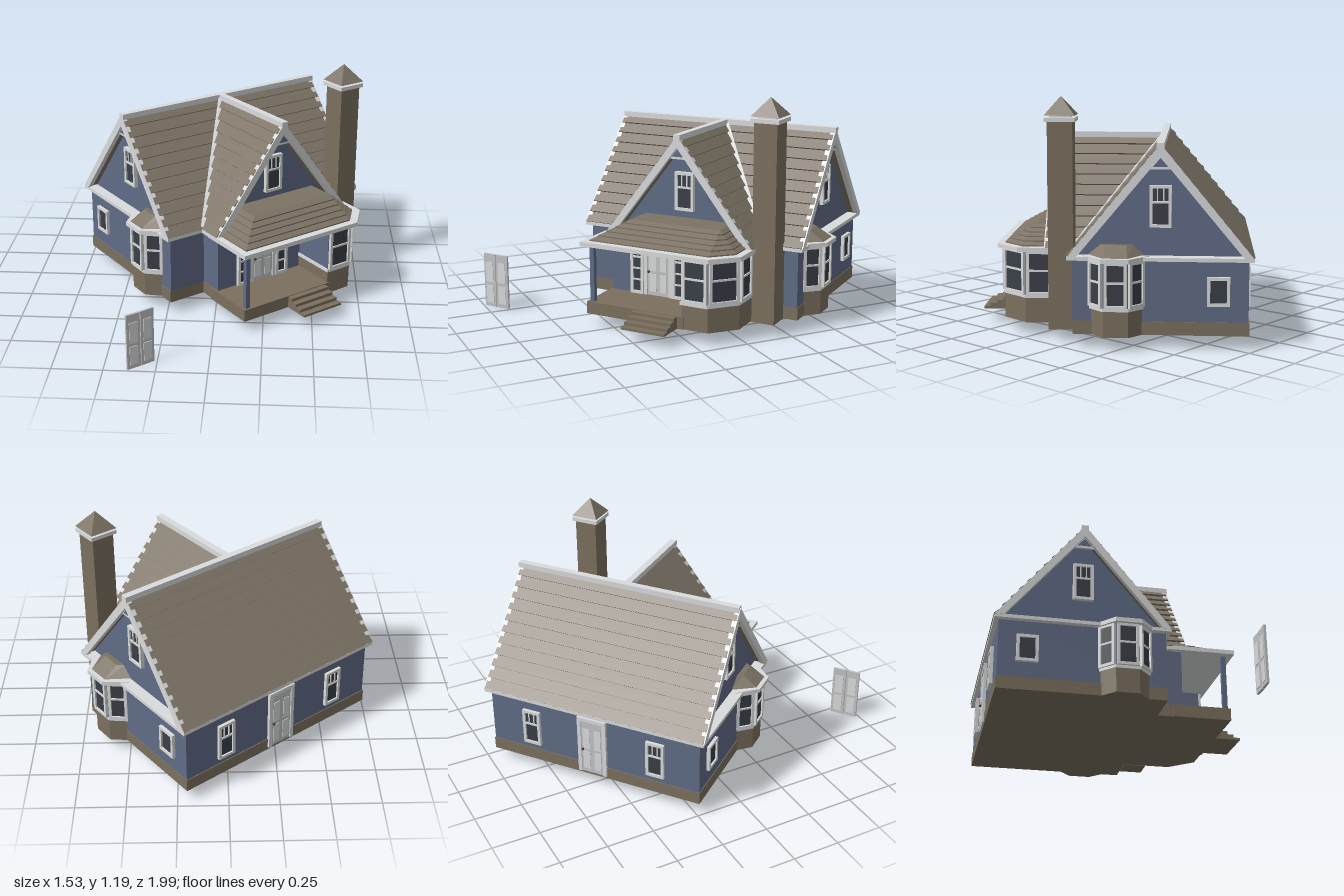
import * as THREE from 'three';

const mat = (name, color) => Object.assign(new THREE.MeshStandardMaterial({ color }), { name });
const M = {
  roof: mat('roofShingle', 0x7d7366), stone: mat('foundationBrown', 0x7b705e),
  wall: mat('wallBlue', 0x606c86), trim: mat('trimWhite', 0xdadbdc),
  door: mat('doorGrey', 0xc2c3c5), glass: mat('darkGlass', 0x3a3f47), metal: mat('knobDark', 0x2c2a28),
};
const EAVE = 0.44, RIDGE = 0.97, GROUND = 0.065, FLOOR = 0.13;

function add(parent, name, geo, material, x = 0, y = 0, z = 0, ry = 0) {
  const m = new THREE.Mesh(geo, material);
  m.name = name;
  m.position.set(x, y, z);
  m.rotation.y = ry;
  parent.add(m);
  return m;
}
const box = (p, name, material, w, h, d, x, y, z, ry) =>
  add(p, name, new THREE.BoxGeometry(w, h, d), material, x, y, z, ry);
const shapeOf = pts => new THREE.Shape(pts.map(p => new THREE.Vector2(p[0], p[1])));
const extrude = (pts, depth) => new THREE.ExtrudeGeometry(shapeOf(pts), { depth, bevelEnabled: false });

// Upright prism on a floor-plan outline of [x, z] points
function prism(p, name, material, pts, y0, y1) {
  const g = extrude(pts.map(([x, z]) => [x, -z]), y1 - y0).rotateX(-Math.PI / 2);
  return add(p, name, g, material, 0, y0, 0);
}
// Outline scaled outward about its centre
function grow(pts, k) {
  const n = pts.length, cx = pts.reduce((s, p) => s + p[0], 0) / n, cz = pts.reduce((s, p) => s + p[1], 0) / n;
  return pts.map(([x, z]) => [cx + (x - cx) * k, cz + (z - cz) * k]);
}

// Hipped roof in overlapping courses from a lower outline to an upper one, closed on top
function hipRoof(p, name, low, high, y0, y1, courses, lip) {
  const ring = (t, dy) => low.map(([x, z], i) =>
    [x + (high[i][0] - x) * t, y0 + (y1 - y0) * t + dy, z + (high[i][1] - z) * t]);
  const rings = [];
  for (let i = 0; i < courses; i++) rings.push(ring(i / courses, 0), ring(i / courses, lip));
  rings.push(ring(1, 0));
  const v = [];
  for (let r = 0; r < rings.length - 1; r++) {
    for (let i = 0; i < low.length - 1; i++) {
      const a = rings[r][i], b = rings[r][i + 1], c = rings[r + 1][i + 1], d = rings[r + 1][i];
      v.push(...a, ...b, ...c, ...a, ...c, ...d);
    }
  }
  const top = rings[rings.length - 1];
  for (let i = 1; i < top.length - 1; i++) v.push(...top[0], ...top[i], ...top[i + 1]);
  const g = new THREE.BufferGeometry();
  g.setAttribute('position', new THREE.Float32BufferAttribute(v, 3));
  g.computeVertexNormals();
  add(p, name, g, M.roof);
}

// Sash window facing +z, with small panes in the upper sash
function sashWindow(p, name, w, h, x, y, z, ry, cols = 1, rail = 0.1) {
  const g = new THREE.Group();
  g.name = name;
  g.position.set(x, y, z);
  g.rotation.y = ry;
  p.add(g);
  const f = 0.015;
  box(g, 'glass', M.glass, w - f, h - f, 0.008, 0, 0, 0.002);
  for (const s of [-1, 1]) {
    box(g, 'frameSide', M.trim, f, h, 0.022, s * (w - f) / 2, 0, 0.004);
    box(g, 'frameEnd', M.trim, w - f, f, 0.022, 0, s * (h - f) / 2, 0.004);
  }
  if (rail !== null) box(g, 'middleRail', M.trim, w - f, 0.01, 0.016, 0, h * rail, 0.004);
  for (let i = 1; i < cols; i++) {
    const y0 = h * rail;
    box(g, 'muntin', M.trim, 0.006, h / 2 - y0, 0.014, (w - f) * (i / cols - 0.5), (h / 2 + y0) / 2, 0.004);
  }
}

// Panelled door leaf facing +z, standing on y
function panelDoor(p, name, w, h, x, y, z, ry, cols = 2, knob = true) {
  const g = new THREE.Group();
  g.name = name;
  g.position.set(x, y, z);
  g.rotation.y = ry;
  p.add(g);
  box(g, 'leaf', M.door, w, h, 0.012, 0, h / 2, 0);
  for (let c = 0; c < cols; c++) for (const [t, ph] of [[0.24, 0.34], [0.66, 0.38]])
    box(g, 'panel', M.trim, w / cols * 0.62, h * ph, 0.018, w * ((c + 0.5) / cols - 0.5), h * t, 0);
  if (knob) add(g, 'knob', new THREE.SphereGeometry(0.007, 10, 8), M.metal, -w * 0.42, h * 0.45, 0.013);
}

// Gabled roof with its ridge along z: shingles, ridge cap, and trimmed gables at the given ends
function gableRoof(p, name, half, z0, z1, ends, recess) {
  const g = new THREE.Group();
  g.name = name;
  p.add(g);
  const n = 11, rise = RIDGE - EAVE, L = Math.hypot(half, rise), lip = 0.01, right = [];
  for (let i = 0; i < n; i++) {
    const at = t => [half * (1 - t), EAVE + rise * t];
    const a = at(i / n);
    right.push(a, [a[0] + lip * rise / L, a[1] + lip * half / L]);
  }
  const left = right.map(([x, y]) => [-x, y]).reverse();
  const profile = [...right, [0, RIDGE], ...left, [-half + 0.03, EAVE], [0, RIDGE - 0.04], [half - 0.03, EAVE]];
  add(g, 'shingles', extrude(profile, z1 - z0), M.roof, 0, 0, z0);
  box(g, 'ridgeCap', M.trim, 0.036, 0.028, z1 - z0 + 0.012, 0, RIDGE, (z0 + z1) / 2 + 0.004);
  const wall0 = ends.includes(-1) ? z0 + recess : z0;
  add(g, 'gableWall', extrude([[-half + 0.02, EAVE - 0.01], [half - 0.02, EAVE - 0.01], [0, RIDGE - 0.03]],
    z1 - recess - wall0), M.wall, 0, 0, wall0);
  for (const s of ends) {
    const end = new THREE.Group();
    end.name = 'gableEnd';
    end.position.z = s > 0 ? z1 : z0;
    end.rotation.y = s > 0 ? 0 : Math.PI;
    g.add(end);
    const rake = [[-half - 0.004, EAVE], [-half + 0.04, EAVE], [0, RIDGE - 0.052], [half - 0.04, EAVE],
      [half + 0.004, EAVE], [0, RIDGE + 0.008]];
    add(end, 'rakeBoard', extrude(rake, 0.026), M.trim, 0, 0, -0.02);
    add(end, 'peakTrim', extrude([[-0.062, 0.858], [0.062, 0.858], [0, 0.935]], 0.012), M.trim, 0, 0, -0.022);
    add(end, 'peakInset', extrude([[-0.036, 0.87], [0.036, 0.87], [0, 0.912]], 0.006), M.wall, 0, 0, -0.014);
    sashWindow(end, 'gableWindow', 0.104, 0.2, 0, 0.68, -recess + 0.006, 0, 3);
  }
  return g;
}

// Windows along successive edges of a bay outline
function bayWindows(p, pts) {
  for (let i = 0; i < pts.length - 1; i++) {
    const [a, b] = [pts[i], pts[i + 1]], dx = b[0] - a[0], dz = b[1] - a[1];
    sashWindow(p, 'bayWindow', Math.hypot(dx, dz) - 0.006, 0.222, (a[0] + b[0]) / 2, 0.316,
      (a[1] + b[1]) / 2, Math.atan2(-dz, dx), 1, 0.05);
  }
}

// Three-sided bay on an end wall; s = -1 left end, +1 right end of the house frame
function sideBay(p, s) {
  const g = new THREE.Group();
  g.name = 'sideBay';
  p.add(g);
  const side = pts => s < 0 ? pts : pts.map(([x, z]) => [-x, z]).reverse();
  const plan = side([[-0.585, 0.08], [-0.66, 0.15], [-0.66, 0.265], [-0.585, 0.335]]);
  prism(g, 'bayBase', M.stone, grow(plan, 1.02), GROUND, 0.19);
  prism(g, 'baySill', M.trim, grow(plan, 1.1), 0.19, 0.206);
  prism(g, 'bayWall', M.wall, plan, 0.2, 0.43);
  bayWindows(g, plan);
  prism(g, 'bayCornice', M.trim, side([[-0.59, 0.052], [-0.692, 0.143], [-0.692, 0.275], [-0.59, 0.367]]), 0.424, 0.446);
  hipRoof(g, 'bayRoof', side([[-0.555, 0.07], [-0.67, 0.15], [-0.67, 0.268], [-0.555, 0.35]]),
    side([[-0.555, 0.13], [-0.59, 0.16], [-0.59, 0.26], [-0.555, 0.29]]), 0.446, 0.495, 1, 0);
}

export function createModel() {
  const model = new THREE.Group();
  model.name = 'cottage';
  const house = new THREE.Group();
  house.name = 'house';
  house.position.set(-0.012, 0, -0.267);
  house.rotation.y = 0.656;
  model.add(house);

  // Body, foundation and eaves
  const cornerBay = [[0.14, 0.79], [0.28, 0.79], [0.39, 0.67], [0.39, 0.54]];
  const plan = [[-0.593, -0.418], [-0.593, 0.418], [-0.39, 0.418], [-0.39, 0.55], [0.14, 0.55],
    ...cornerBay, [0.39, 0.418], [0.593, 0.418], [0.593, -0.418]];
  prism(house, 'walls', M.wall, plan, FLOOR, 0.43);
  prism(house, 'foundation', M.stone, grow(plan, 1.006), GROUND, FLOOR);
  box(house, 'mainCornice', M.trim, 1.244, 0.018, 0.884, 0, 0.434, 0);
  box(house, 'wingCornice', M.trim, 0.834, 0.018, 0.4, 0, 0.434, 0.375);

  // Roofs
  const main = gableRoof(house, 'mainRoof', 0.4375, -0.6185, 0.6185, [-1, 1], 0.056);
  main.rotation.y = Math.PI / 2;
  gableRoof(house, 'wingRoof', 0.41, 0, 0.571, [1], 0.093);
  for (const s of [-1, 1]) {
    const a = new THREE.Vector3(0, RIDGE, 0.005), b = new THREE.Vector3(s * 0.405, EAVE + 0.006, 0.434);
    const valley = box(house, 'valleyTrim', M.trim, 0.026, 0.026, a.distanceTo(b));
    valley.position.lerpVectors(a, b, 0.5);
    valley.quaternion.setFromUnitVectors(new THREE.Vector3(0, 0, 1), b.clone().sub(a).normalize());
  }

  // Porch: slab, steps, post and hipped roof
  prism(house, 'porchFloor', M.stone, [[-0.4, 0.5], [-0.4, 0.8], [0.15, 0.8], [0.15, 0.5]], GROUND, FLOOR - 0.001);
  for (let i = 0; i < 4; i++) {
    const h = (FLOOR - GROUND) * (4 - i) / 4 - 0.004, d = 0.034 * (i + 1);
    box(house, 'step', M.stone, 0.24, h, d, -0.004, GROUND + h / 2, 0.798 + d / 2);
  }
  box(house, 'porchPost', M.wall, 0.024, 0.3, 0.024, -0.372, FLOOR + 0.15, 0.778);
  prism(house, 'porchCornice', M.trim, [[-0.42, 0.5], [-0.42, 0.827], [0.297, 0.827], [0.417, 0.709], [0.417, 0.5]], 0.424, 0.446);
  hipRoof(house, 'porchRoof', [[-0.385, 0.475], [-0.385, 0.788], [0.28, 0.788], [0.38, 0.69], [0.38, 0.475]],
    [[-0.226, 0.475], [-0.226, 0.635], [0.268, 0.635], [0.268, 0.634], [0.268, 0.475]], 0.446, 0.542, 5, 0.006);

  // Corner bay beside the porch
  const inner = [[0.3, 0.5], [0.14, 0.5]];
  prism(house, 'cornerBayBase', M.stone, grow([...cornerBay, ...inner], 1.02), GROUND, 0.19);
  prism(house, 'cornerBaySill', M.trim, grow([...cornerBay, ...inner], 1.06), 0.19, 0.206);
  bayWindows(house, cornerBay);
  for (const s of [-1, 1]) sideBay(house, s);

  // Front entrance with sidelights
  box(house, 'entranceHeader', M.trim, 0.33, 0.02, 0.02, -0.115, 0.418, 0.556);
  panelDoor(house, 'frontDoor', 0.125, 0.28, -0.115, FLOOR, 0.556, 0);
  for (const s of [-1, 1]) {
    box(house, 'doorJamb', M.trim, 0.02, 0.28, 0.024, -0.115 + s * 0.072, FLOOR + 0.14, 0.556);
    const x = -0.115 + s * 0.122;
    sashWindow(house, 'sidelight', 0.075, 0.28, x, FLOOR + 0.14, 0.556, 0, 1, 0.2);
    for (const y of [0.205, 0.265]) box(house, 'sidelightBar', M.trim, 0.06, 0.008, 0.016, x, y, 0.56);
  }

  // Rear door and windows, small end windows
  panelDoor(house, 'backDoor', 0.125, 0.31, 0, 0.08, -0.422, Math.PI);
  for (const s of [-1, 1]) {
    box(house, 'backDoorJamb', M.trim, 0.02, 0.32, 0.024, s * 0.071, 0.24, -0.422);
    sashWindow(house, 'backWindow', 0.1, 0.2, s * 0.354, 0.265, -0.42, Math.PI, 3);
    sashWindow(house, 'endWindow', 0.108, 0.14, s * 0.595, 0.28, -0.275, s * Math.PI / 2, 1, null);
  }
  box(house, 'backDoorHeader', M.trim, 0.162, 0.02, 0.026, 0, 0.4, -0.422);

  // Chimney with capped flue
  const chimney = new THREE.Group();
  chimney.name = 'chimney';
  chimney.position.set(0.46, 0, 0.481);
  house.add(chimney);
  box(chimney, 'stack', M.stone, 0.121, 1.01, 0.121, 0, GROUND + 0.505, 0);
  box(chimney, 'capSlab', M.trim, 0.148, 0.02, 0.148, 0, 1.08, 0);
  box(chimney, 'flue', M.trim, 0.1, 0.016, 0.1, 0, 1.096, 0);
  const hood = new THREE.ConeGeometry(0.105, 0.09, 4).toNonIndexed();
  hood.computeVertexNormals();
  add(chimney, 'hood', hood, M.roof, 0, 1.145, 0, Math.PI / 4);

  // Loose pair of door leaves standing in front
  for (const s of [-1, 1])
    panelDoor(house, 'looseDoorLeaf', 0.073, 0.29, -0.986 + s * 0.038, 0, 0.766, s * 0.03, 1, false);
  return model;
}
